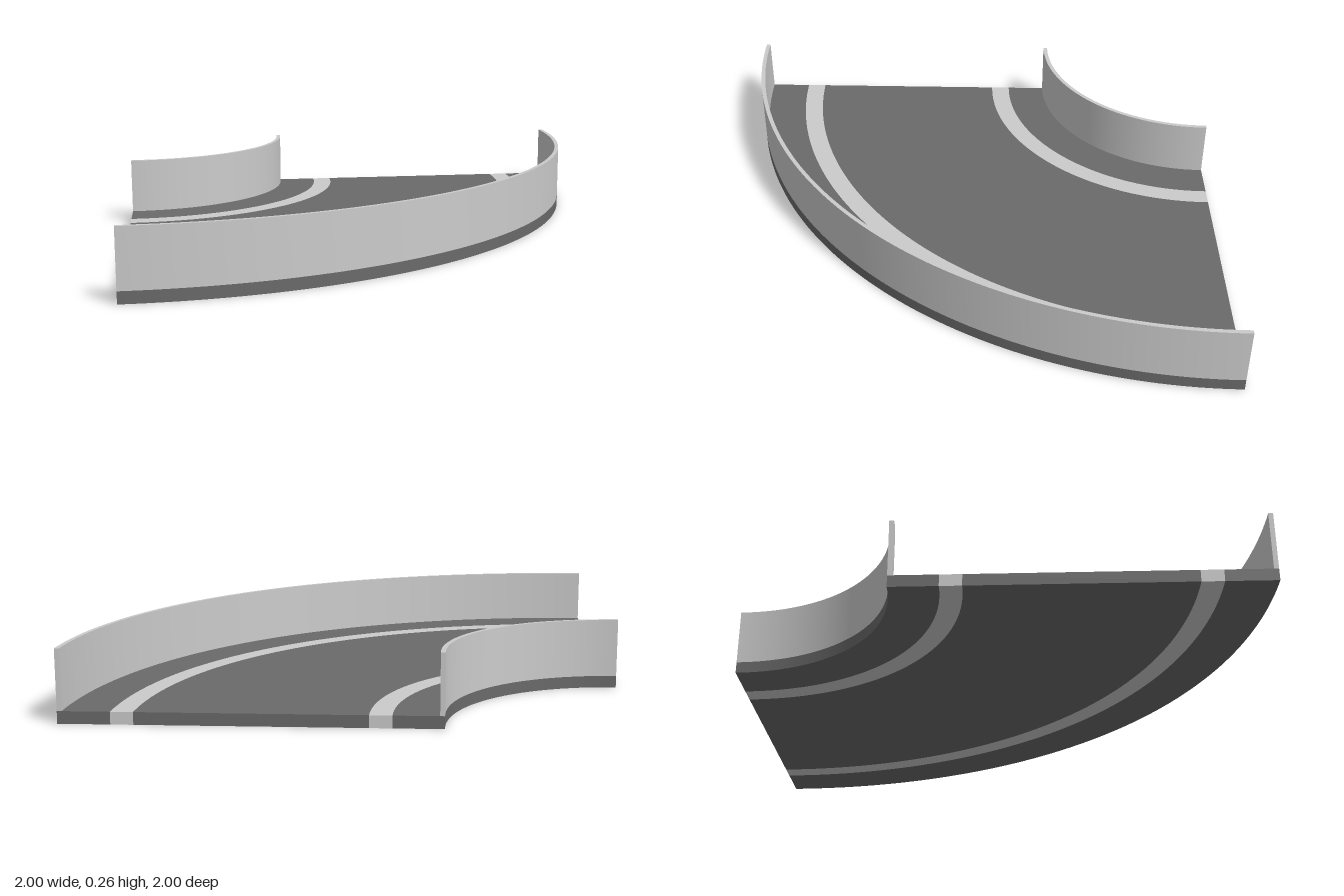
import * as THREE from 'three';
import { toCreasedNormals } from 'three/addons/utils/BufferGeometryUtils.js';

const BASE_HEIGHT = 0.045;
const WALL_HEIGHT = 0.22;

// Quarter ring around the corner at x = -1, z = -1
function quarterRing(name, inner, outer, y, height, material) {
  const shape = new THREE.Shape();
  shape.absarc(0, 0, outer, -Math.PI / 2, 0, false);
  shape.absarc(0, 0, inner, 0, -Math.PI / 2, true);
  shape.closePath();
  const solid = new THREE.ExtrudeGeometry(shape, { depth: height, bevelEnabled: false, curveSegments: 48 });
  solid.rotateX(-Math.PI / 2);
  solid.translate(-1, y, -1);
  const mesh = new THREE.Mesh(toCreasedNormals(solid, Math.PI / 6), material);
  mesh.name = name;
  return mesh;
}

export function createModel() {
  const model = new THREE.Group();
  model.name = 'curvedTrack';
  const light = new THREE.MeshStandardMaterial({ color: 0xcccccc });
  const dark = new THREE.MeshStandardMaterial({ color: 0x6a6a6a });

  // Road bed: alternating surface and lane stripes, flush through the full thickness
  const bed = [
    ['innerShoulder', 0.667, 0.845, dark],
    ['innerStripe', 0.845, 0.925, light],
    ['roadSurface', 0.925, 1.735, dark],
    ['outerStripe', 1.735, 1.815, light],
    ['outerShoulder', 1.815, 2, dark],
  ];
  for (const [name, inner, outer, material] of bed) {
    model.add(quarterRing(name, inner, outer, 0, BASE_HEIGHT, material));
  }

  // Thin guard walls standing on both edges
  model.add(quarterRing('innerWall', 0.667, 0.684, BASE_HEIGHT, WALL_HEIGHT, light));
  model.add(quarterRing('outerWall', 1.983, 2, BASE_HEIGHT, WALL_HEIGHT, light));
  return model;
}
